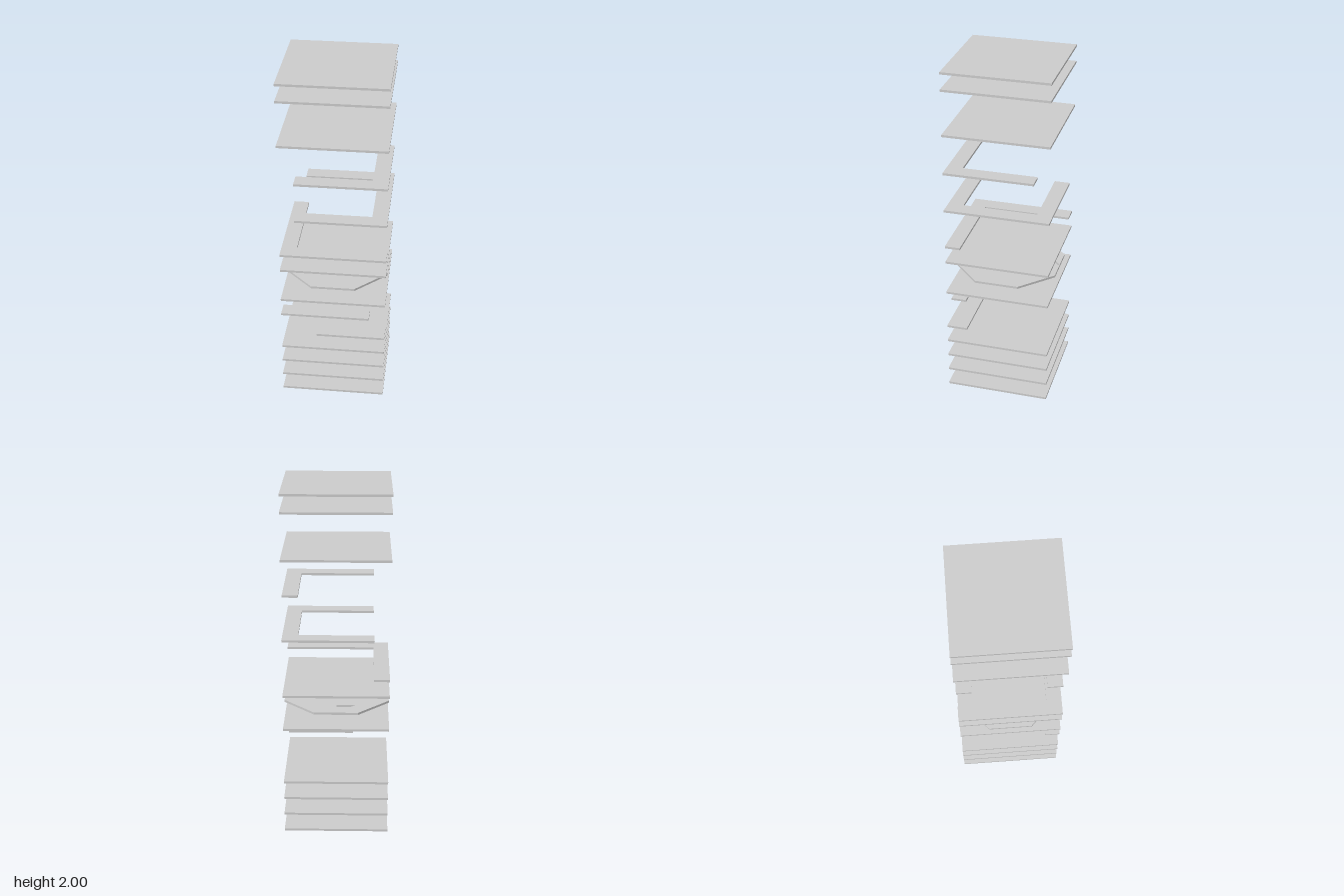
import * as THREE from 'three';

const H = 0.3;          // half width of a plate
const T = 0.013;        // sheet thickness
const I = 0.212;        // inner edge of the border strips
const material = new THREE.MeshStandardMaterial({ color: 0xcccccc, flatShading: true });

export function createModel() {
  const model = new THREE.Group();
  model.name = 'layerStack';

  // flat sheet cut to an outline of [x, z] corners, centred on height y
  function sheet(name, y, corners, parent = model) {
    const shape = new THREE.Shape(corners.map(([x, z]) => new THREE.Vector2(x, -z)));
    const geometry = new THREE.ExtrudeGeometry(shape, { depth: T, bevelEnabled: false });
    geometry.rotateX(-Math.PI / 2);
    const mesh = new THREE.Mesh(geometry, material);
    mesh.name = name;
    mesh.position.y = y - T / 2;
    parent.add(mesh);
    return mesh;
  }
  const rect = (x0, x1, z0, z1) => [[x0, z0], [x0, z1], [x1, z1], [x1, z0]];

  // full square plates
  [0.0065, 0.111, 0.213, 0.315, 0.648, 0.85, 1.637, 1.897, 1.9935].forEach((y, i) =>
    sheet(`squarePlate${i + 1}`, y, rect(-H, H, -H, H)));

  // single strips along the front edge
  sheet('wideFrontStrip', 0.415, rect(-0.095, H, 0.18, H));
  sheet('narrowFrontStrip', 0.547, rect(-H, 0.208, I, H));

  // octagonal frame: four corner trapezoids around a diamond opening
  const frame = new THREE.Group();
  frame.name = 'octagonFrame';
  model.add(frame);
  const c = H * Math.tan(Math.PI / 8);
  for (let i = 0; i < 4; i++) {
    const corner = sheet('frameCorner', 0.75, [[0, H], [c, H], [H, c], [H, 0]], frame);
    corner.rotation.y = i * Math.PI / 2;
  }
  sheet('frameCrossbar', 0.75, rect(-0.13, 0, -0.19, 0.1), frame);

  // corner strip along the front and the right-hand side
  sheet('lowerCornerStrip', 0.95, [[-H, -H], [-H, H], [H, H], [H, I], [-I, I], [-I, -H]]);

  // U-shaped strip open towards -x
  sheet('openFrameStrip', 1.18,
    [[-I, H], [H, H], [H, -H], [-I, -H], [-I, -I], [I, -I], [I, I], [-I, I]]);

  // corner strip along the front and the left-hand side
  sheet('upperCornerStrip', 1.41, [[-I, H], [H, H], [H, -I], [I, -I], [I, I], [-I, I]]);

  return model;
}
